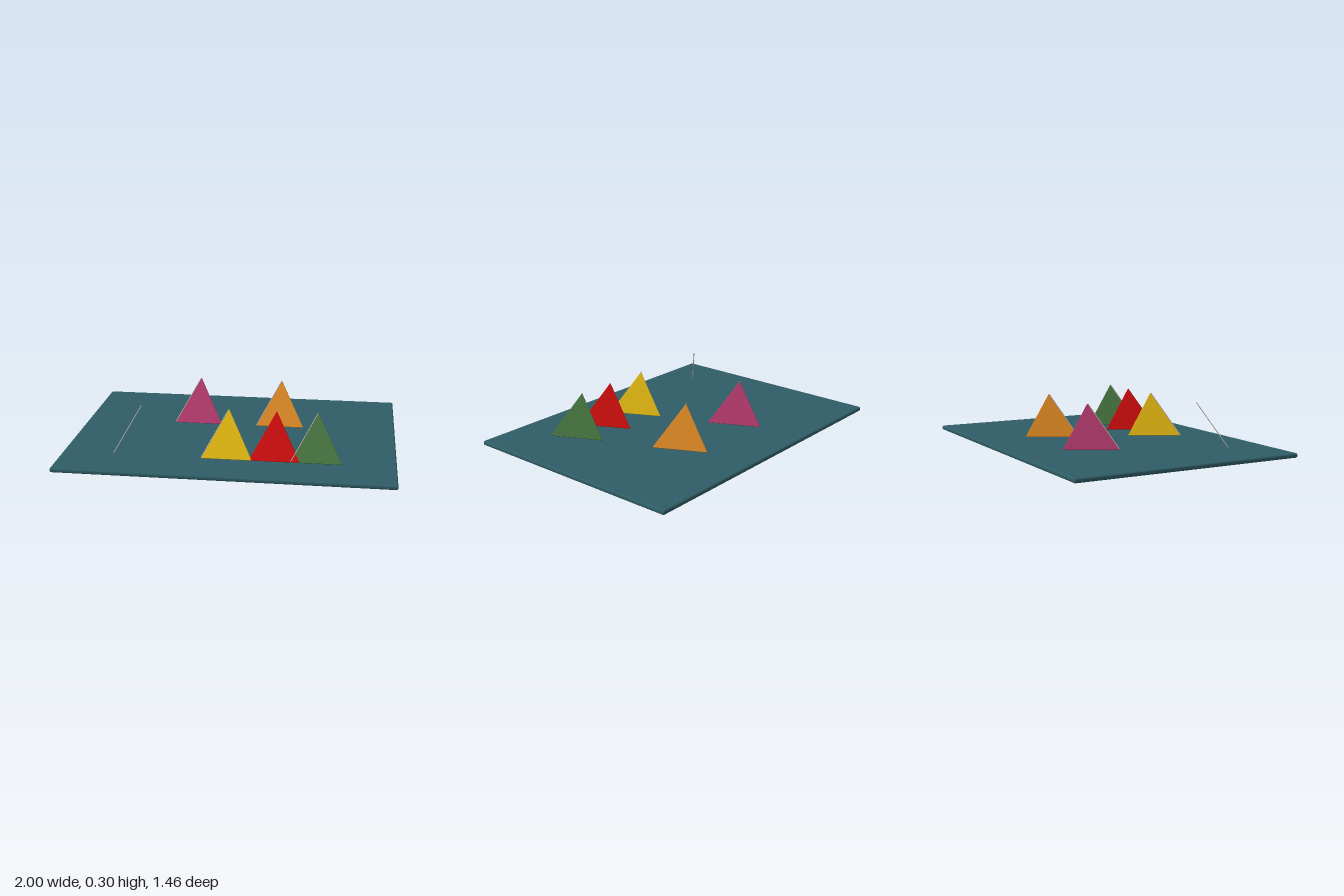
import * as THREE from 'three';
import { RoundedBoxGeometry } from 'three/addons/geometries/RoundedBoxGeometry.js';
import { ConvexGeometry } from 'three/addons/geometries/ConvexGeometry.js';

function material(name, color, flatShading = false) {
  const m = new THREE.MeshStandardMaterial({ color, flatShading });
  m.name = name;
  return m;
}

// Corners of one pyramid, relative to its apex in plan: apex, back, front right, front left
const APEX = new THREE.Vector3(0, 0.302, 0);
const BACK = new THREE.Vector3(0, 0.03, -0.168);
const RIGHT = new THREE.Vector3(-0.154, 0.03, 0.137);
const LEFT = new THREE.Vector3(0.154, 0.03, 0.137);

// Tetrahedron with slightly blunted corners and bevelled edges
function pyramidGeometry() {
  const corners = [APEX, BACK, RIGHT, LEFT];
  const points = [];
  corners.forEach((corner, i) => {
    corners.forEach((opposite, j) => {
      if (i === j) return;
      // a point inset from the corner on the face that lies across from "opposite"
      const others = corners.filter((c, k) => k !== i && k !== j);
      const p = corner.clone();
      others.forEach((o) => p.addScaledVector(o.clone().sub(corner).normalize(), 0.004));
      points.push(p);
    });
  });
  return new ConvexGeometry(points);
}

// Thin rod along the front edge that climbs from the right corner to the apex
function rodMesh(mat) {
  const dir = APEX.clone().sub(RIGHT);
  const rod = new THREE.Mesh(new THREE.CylinderGeometry(0.003, 0.003, dir.length() - 0.012, 6), mat);
  rod.position.copy(APEX).add(RIGHT).multiplyScalar(0.5);
  rod.quaternion.setFromUnitVectors(new THREE.Vector3(0, 1, 0), dir.normalize());
  return rod;
}

export function createModel() {
  const model = new THREE.Group();
  model.name = 'pyramidBoard';

  // Board
  const board = new THREE.Mesh(new RoundedBoxGeometry(2, 0.028, 1.46, 3, 0.011), material('teal', 0x2f5d66));
  board.name = 'board';
  board.position.y = 0.014;
  model.add(board);

  // Pyramids and their edge rods
  const rodMaterial = material('paleGrey', 0xb8aaa4);
  const geometry = pyramidGeometry();
  const pieces = [
    ['pink', 0xb23a6c, -0.265, -0.267, true],
    ['orange', 0xdc8824, 0.265, -0.267, true],
    ['yellow', 0xe0b611, 0, 0.335, true],
    ['red', 0xcc0d0d, 0.285, 0.335, false],
    ['green', 0x477540, 0.532, 0.335, true],
  ];
  for (const [name, color, x, z, hasRod] of pieces) {
    const group = new THREE.Group();
    group.name = name + 'Piece';
    const pyramid = new THREE.Mesh(geometry, material(name, color, true));
    pyramid.name = name + 'Pyramid';
    group.add(pyramid);
    if (hasRod) {
      const rod = rodMesh(rodMaterial);
      rod.name = name + 'EdgeRod';
      group.add(rod);
    }
    group.position.set(x, 0, z);
    model.add(group);
  }

  // Rod standing on its own
  const loneRod = rodMesh(rodMaterial);
  loneRod.name = 'loneRod';
  loneRod.position.x -= 0.532;
  loneRod.position.z += 0.327;
  model.add(loneRod);

  return model;
}
